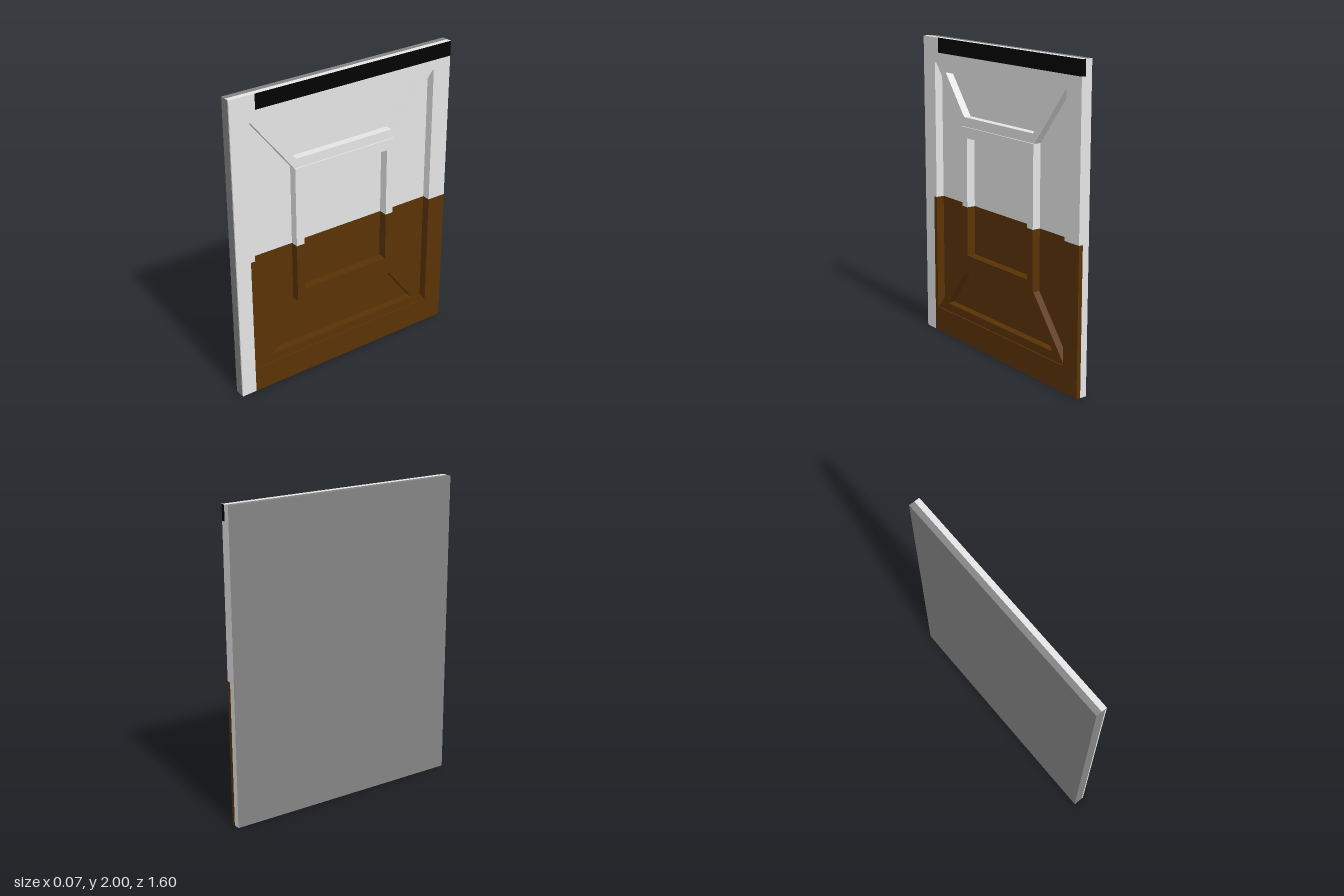
import * as THREE from 'three';

const mat = (name, color) => new THREE.MeshStandardMaterial({ name, color });

const BACK = -0.0375, FRONT = 0.0355;
const CUTS = [['y', 0.938], ['y', 1.903], ['z', 0.7], ['z', 0.63], ['x', 0], ['x', 0.007], ['x', 0.026]];

// Which paint covers a small face with centre c and normal n
function paintAt(c, n) {
  if (n.x < -0.5) return 'grey';                               // plain back
  if (c.y < 0.001) return 'grey';                              // underside
  if (c.y > 1.999) return c.x < 0 ? 'grey' : 'white';          // top edge
  if (c.z > 0.799) return c.x < 0.026 ? 'grey' : 'white';      // one side edge
  if (c.z < -0.799 && c.x < 0.007) return 'white';             // other side edge
  if (c.y > 1.903 && c.z < 0.63) return 'black';
  if (c.y < 0.938 && c.z < 0.7) return 'brown';
  return 'white';
}

// Cut a convex polygon in two along an axis plane
function cutPolygon(poly, axis, at) {
  const below = [], above = [];
  poly.forEach((p, i) => {
    const q = poly[(i + 1) % poly.length];
    const dp = p[axis] - at, dq = q[axis] - at;
    if (dp <= 1e-6) below.push(p);
    if (dp >= -1e-6) above.push(p);
    if ((dp < -1e-6 && dq > 1e-6) || (dp > 1e-6 && dq < -1e-6)) {
      const m = p.clone().lerp(q, dp / (dp - dq));
      below.push(m);
      above.push(m);
    }
  });
  return [below, above].filter((s) => s.length > 2);
}

// Split a geometry along the paint lines into one mesh per colour
function paintedPart(name, geometry, materials) {
  const group = new THREE.Group();
  group.name = name;
  const flat = geometry.index ? geometry.toNonIndexed() : geometry;
  const pos = flat.attributes.position;
  const buckets = {};
  const tri = new THREE.Triangle();
  for (let i = 0; i < pos.count; i += 3) {
    const corners = [0, 1, 2].map((k) => new THREE.Vector3().fromBufferAttribute(pos, i + k));
    const normal = tri.set(...corners).getNormal(new THREE.Vector3());
    let polys = [corners];
    for (const [axis, at] of CUTS) polys = polys.flatMap((p) => cutPolygon(p, axis, at));
    for (const p of polys) {
      const centre = new THREE.Vector3();
      p.forEach((v) => centre.addScaledVector(v, 1 / p.length));
      const out = (buckets[paintAt(centre, normal)] ??= []);
      for (let k = 1; k < p.length - 1; k++) {
        for (const v of [p[0], p[k], p[k + 1]]) out.push(v.x, v.y, v.z);
      }
    }
  }
  for (const [colour, points] of Object.entries(buckets)) {
    const g = new THREE.BufferGeometry();
    g.setAttribute('position', new THREE.Float32BufferAttribute(points, 3));
    g.computeVertexNormals();
    const mesh = new THREE.Mesh(g, materials[colour]);
    mesh.name = `${name} ${colour}`;
    group.add(mesh);
  }
  return group;
}

// Outline points, always counter-clockwise so that hole walls face inwards
function points(list) {
  const pts = list.map(([z, y]) => new THREE.Vector2(-z, y));
  return THREE.ShapeUtils.isClockWise(pts) ? pts.reverse() : pts;
}

// Outline in (z, y), raised from the back to the given x level
function slab(outline, hole, level) {
  const shape = new THREE.Shape(points(outline));
  if (hole) shape.holes.push(new THREE.Path(points(hole)));
  return new THREE.ExtrudeGeometry(shape, { depth: level - BACK, bevelEnabled: false })
    .translate(0, 0, BACK)
    .rotateY(Math.PI / 2);
}

const trapezoid = (zLow, yLow, zHigh, yHigh) =>
  [[-zLow, yLow], [zLow, yLow], [zHigh, yHigh], [-zHigh, yHigh]];
const rect = (z, y0, y1) => trapezoid(z, y0, z, y1);

export function createModel() {
  const materials = {
    white: mat('white', 0xe5e5e5),
    grey: mat('grey', 0x848484),
    brown: mat('brown', 0x5a3204),
    black: mat('black', 0x020202),
  };
  const model = new THREE.Group();
  model.name = 'panelledSlab';
  const add = (name, outline, hole, level) =>
    model.add(paintedPart(name, slab(outline, hole, level), materials));

  const SIDE = -0.02, INSET = -0.025;

  // Outer frame
  add('frame', rect(0.8, 0, 2), rect(0.67, 0.168, 1.838), FRONT);

  // Raised moulding bands with their sunken panels
  const bands = [
    ['centre', rect(0.37, 0.545, 1.46), rect(0.315, 0.615, 1.39), 0.034],
    ['upper', trapezoid(0.37, 1.46, 0.67, 1.838), trapezoid(0.355, 1.52, 0.56, 1.783), 0.026],
    ['lower', trapezoid(0.67, 0.168, 0.37, 0.545), trapezoid(0.56, 0.222, 0.355, 0.488), 0.026],
  ];
  for (const [name, outer, inner, level] of bands) {
    add(`${name}Moulding`, outer, inner, level);
    add(`${name}Panel`, inner, null, INSET);
  }

  // Sunken side panels
  for (const s of [1, -1]) {
    add(s > 0 ? 'frontSidePanel' : 'rearSidePanel',
      [[s * 0.67, 0.168], [s * 0.67, 1.838], [s * 0.37, 1.46], [s * 0.37, 0.545]], null, SIDE);
  }
  return model;
}
